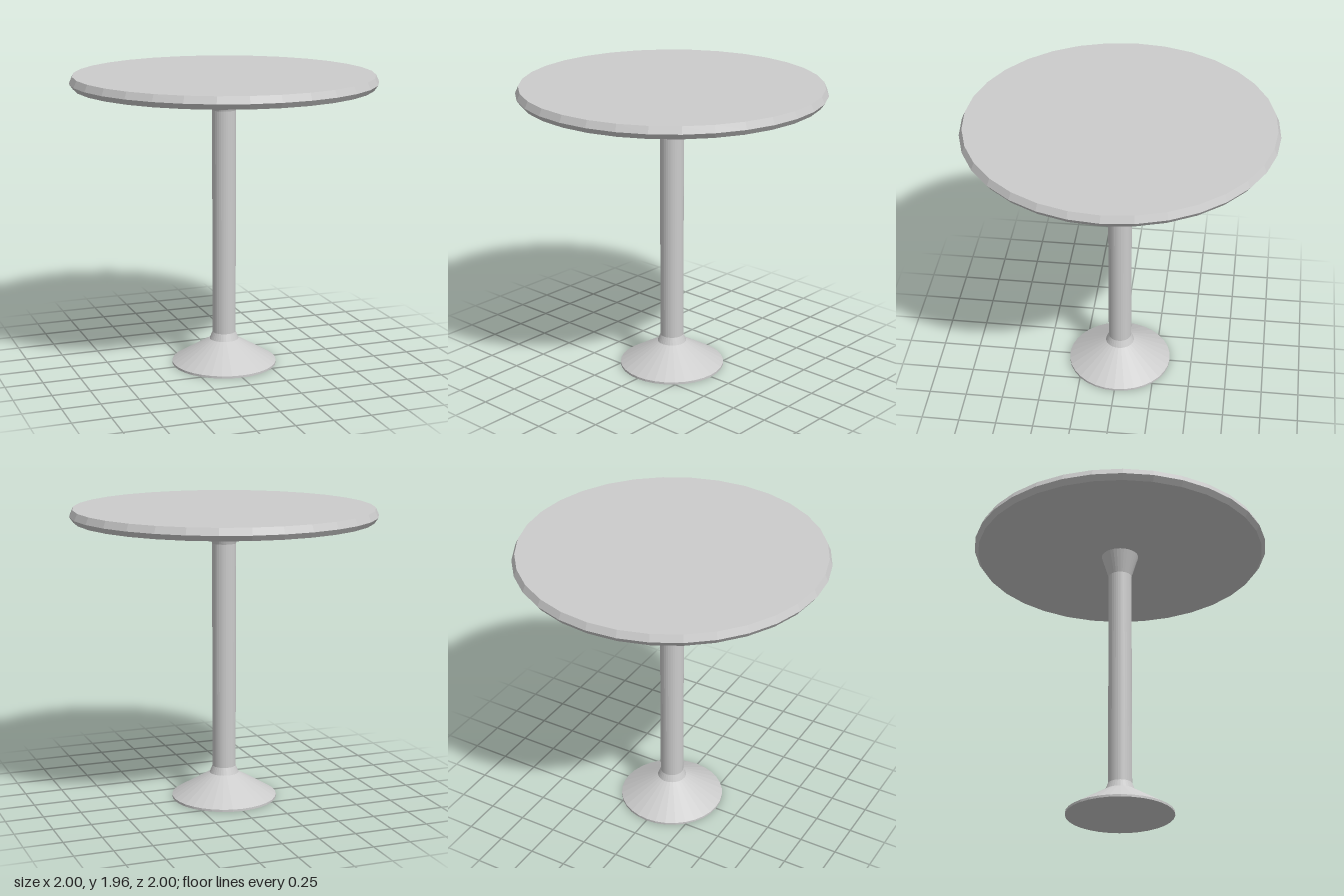
import * as THREE from 'three';

const SIDES = 32;

// Faceted solid of revolution from [radius, height] pairs, listed bottom to top
function turned(name, profile, material) {
  const points = profile.map(([r, y]) => new THREE.Vector2(r, y));
  const mesh = new THREE.Mesh(new THREE.LatheGeometry(points, SIDES), material);
  mesh.name = name;
  return mesh;
}

export function createModel() {
  const group = new THREE.Group();
  group.name = 'pedestalTable';
  const material = new THREE.MeshStandardMaterial({ color: 0xcccccc, flatShading: true });

  // Round top with a bevelled edge
  group.add(turned('tableTop', [
    [0, 1.875], [0.975, 1.875], [1, 1.91], [0.98, 1.955], [0, 1.955],
  ], material));

  // Conical foot, collar, column and flared neck in one turned piece
  group.add(turned('pedestal', [
    [0, 0], [0.35, 0], [0.35, 0.015], [0.097, 0.167],
    [0.078, 0.215], [0.078, 1.72], [0.125, 1.875],
  ], material));

  return group;
}
